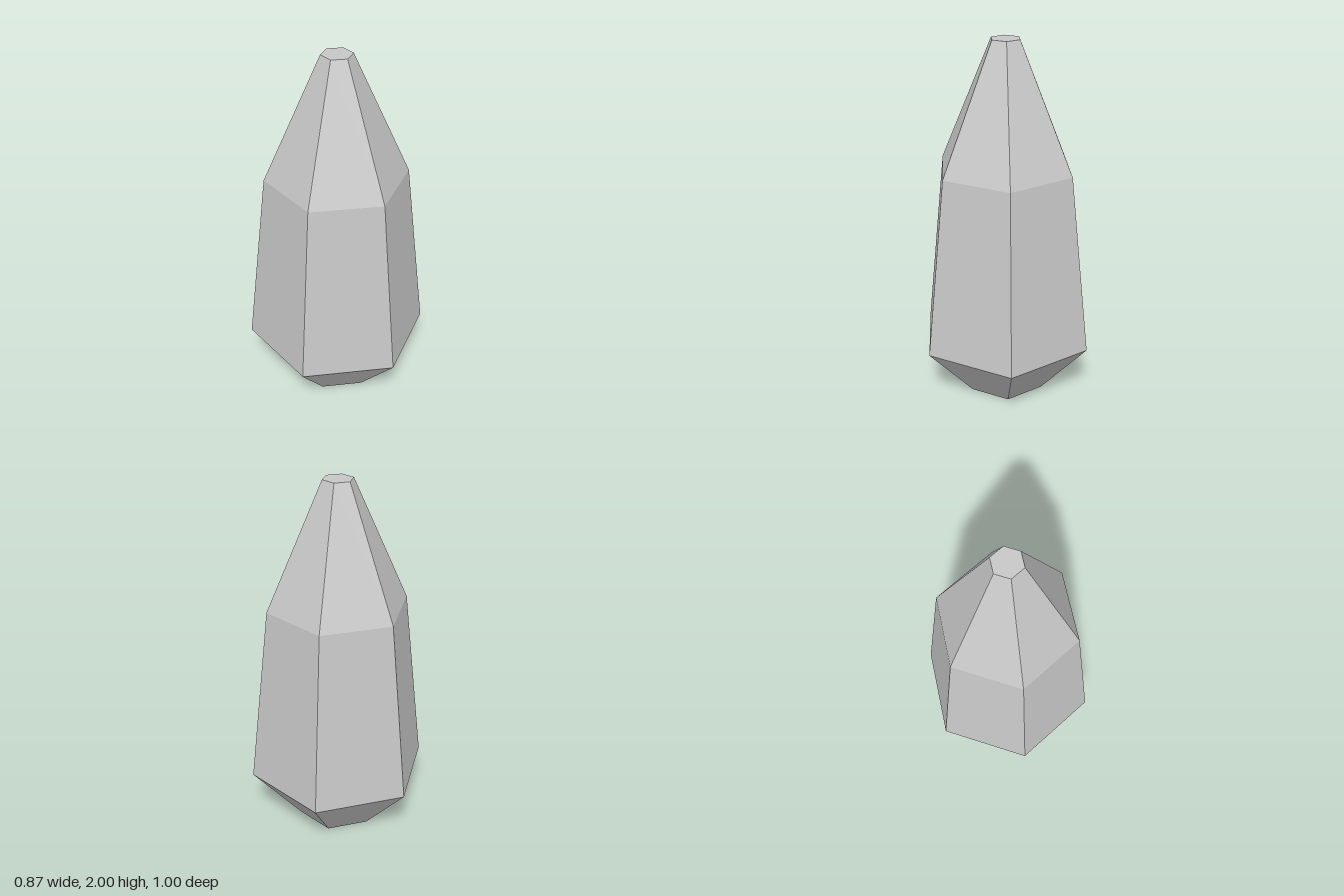
import * as THREE from 'three';

export function createModel() {
  const model = new THREE.Group();
  model.name = 'crystal';

  const stone = new THREE.MeshStandardMaterial({ color: 0xc8c8c8, flatShading: true });
  stone.name = 'grey stone';

  // Six-sided profile from base to tip: [radius, height], closed by flat caps
  const profile = [
    [0, 0], [0.228, 0],   // flat base
    [0.5, 0.32],          // widest edge
    [0.385, 1.32],        // shoulder
    [0.082, 2], [0, 2],   // flat tip
  ].map(([r, y]) => new THREE.Vector2(r, y));

  // First corner points to +z, so flat sides face left and right
  const shard = new THREE.Mesh(new THREE.LatheGeometry(profile, 6), stone);
  shard.name = 'crystalShard';
  model.add(shard);

  return model;
}
